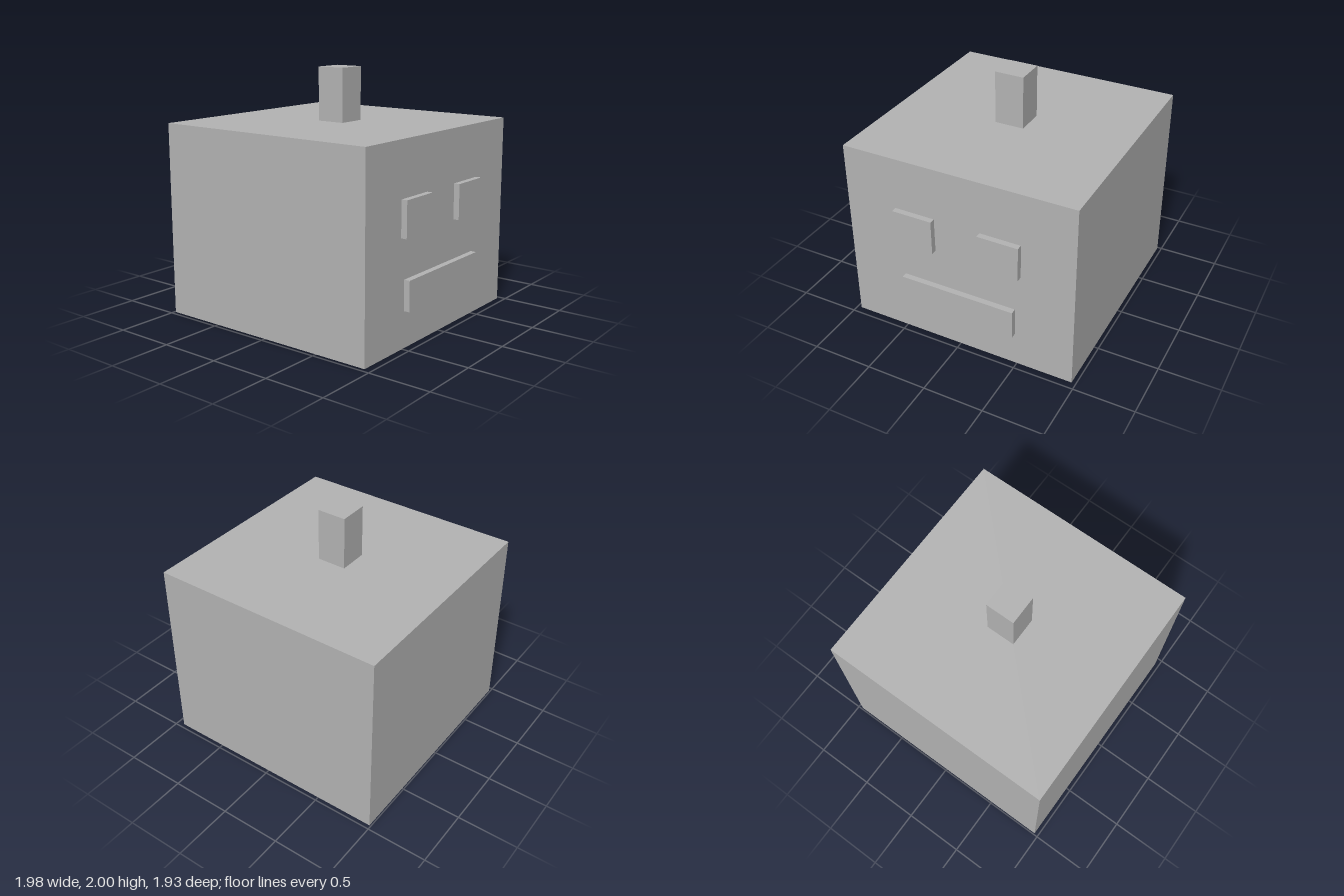
import * as THREE from 'three';

const grey = new THREE.MeshStandardMaterial({ color: 0xb2b2b2, side: THREE.DoubleSide });
grey.name = 'grey';

// Box between two corners, open underneath
function openBox(name, [x0, y0, z0], [x1, y1, z1]) {
  const geometry = new THREE.BoxGeometry(x1 - x0, y1 - y0, z1 - z0);
  const index = Array.from(geometry.index.array);
  index.splice(18, 6); // drop the bottom face
  geometry.setIndex(index);
  geometry.clearGroups();
  const mesh = new THREE.Mesh(geometry, grey);
  mesh.name = name;
  mesh.position.set((x0 + x1) / 2, (y0 + y1) / 2, (z0 + z1) / 2);
  return mesh;
}

export function createModel() {
  const model = new THREE.Group();
  model.name = 'blockHead';

  // Hollow head and the stem on top
  model.add(openBox('head', [-0.988, 0, -0.965], [0.94, 1.567, 0.965]));
  model.add(openBox('stem', [-0.145, 1.567, -0.12], [0.095, 2, 0.12]));

  // Raised face on the +x side
  const x0 = 0.94, x1 = 0.988;
  model.add(openBox('leftEye', [x0, 0.85, -0.53], [x1, 1.135, -0.193]));
  model.add(openBox('rightEye', [x0, 0.85, 0.193], [x1, 1.135, 0.53]));
  model.add(openBox('mouth', [x0, 0.29, -0.482], [x1, 0.53, 0.482]));

  return model;
}
